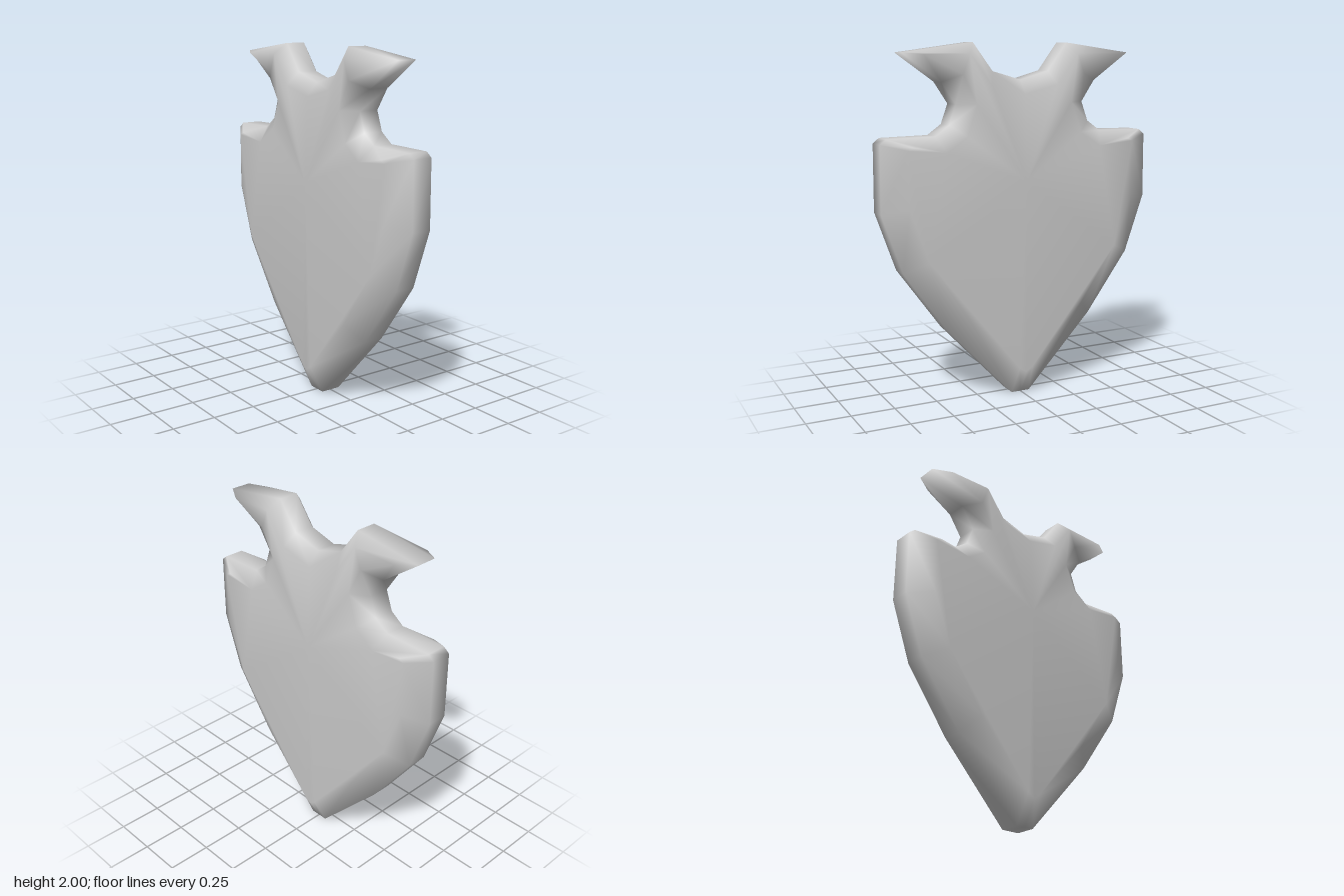
import * as THREE from 'three';
import { mergeVertices } from 'three/addons/utils/BufferGeometryUtils.js';

// Half outline, bottom to top: rim x, rim y, face x, face y, face half depth
const HALF = [
  [0, 0, 0, 0.14, 0.135],
  [0.055, 0, 0.04, 0.165, 0.135],
  [0.45, 0.42, 0.36, 0.51, 0.135],
  [0.705, 0.77, 0.58, 0.83, 0.135],
  [0.822, 1.10, 0.69, 1.13, 0.135],
  [0.82, 1.47, 0.69, 1.44, 0.135],
  [0.785, 1.498, 0.66, 1.455, 0.135],
  [0.51, 1.503, 0.47, 1.42, 0.133],
  [0.43, 1.56, 0.35, 1.5, 0.125],
  [0.39, 1.67, 0.29, 1.67, 0.12],
  [0.47, 1.79, 0.37, 1.83, 0.12],
  [0.69, 1.945, 0.59, 1.935, 0.12],
  [0.287, 2.0, 0.33, 1.94, 0.12],
  [0.17, 1.845, 0.2, 1.77, 0.12],
  [0, 1.797, 0, 1.72, 0.12],
];
const RIM = 0.058;

function arrowheadGeometry() {
  const n = HALF.length;
  const positions = [];
  // Four layers: front face edge, front rim, back rim, back face edge
  for (const p of HALF) positions.push(p[2], p[3], p[4]);
  for (const p of HALF) positions.push(p[0], p[1], RIM);
  for (const p of HALF) positions.push(p[0], p[1], -RIM);
  for (const p of HALF) positions.push(p[2], p[3], -p[4]);
  // Centre point of each broad face
  positions.push(0, 1.24, 0.138, 0, 1.24, -0.138);

  const index = [];
  // Rim and bevels
  for (let layer = 0; layer < 3; layer++) {
    for (let i = 0; i < n - 1; i++) {
      const a = layer * n + i, b = a + n;
      index.push(a, b, b + 1, a, b + 1, a + 1);
    }
  }
  // Broad faces
  const contour = HALF.map((p) => new THREE.Vector2(p[2], p[3]));
  contour.push(new THREE.Vector2(0, 1.24));
  const front = (k) => (k === n ? 4 * n : k);
  const back = (k) => (k === n ? 4 * n + 1 : 3 * n + k);
  for (const [a, b, c] of THREE.ShapeUtils.triangulateShape(contour, [])) {
    index.push(front(a), front(b), front(c), back(a), back(c), back(b));
  }

  // Mirror to the other side
  const count = positions.length / 3, half = index.length;
  for (let i = 0; i < count; i++) {
    positions.push(-positions[i * 3], positions[i * 3 + 1], positions[i * 3 + 2]);
  }
  for (let i = 0; i < half; i += 3) {
    index.push(index[i] + count, index[i + 2] + count, index[i + 1] + count);
  }

  const geometry = new THREE.BufferGeometry();
  geometry.setAttribute('position', new THREE.Float32BufferAttribute(positions, 3));
  geometry.setIndex(index);
  const welded = mergeVertices(geometry, 1e-4);
  welded.computeVertexNormals();
  return welded;
}

export function createModel() {
  const group = new THREE.Group();
  group.name = 'arrowhead';
  const stone = new THREE.MeshStandardMaterial({ color: 0xcccccc });
  stone.name = 'light grey';
  const blade = new THREE.Mesh(arrowheadGeometry(), stone);
  blade.name = 'notchedBlade';
  group.add(blade);
  return group;
}
